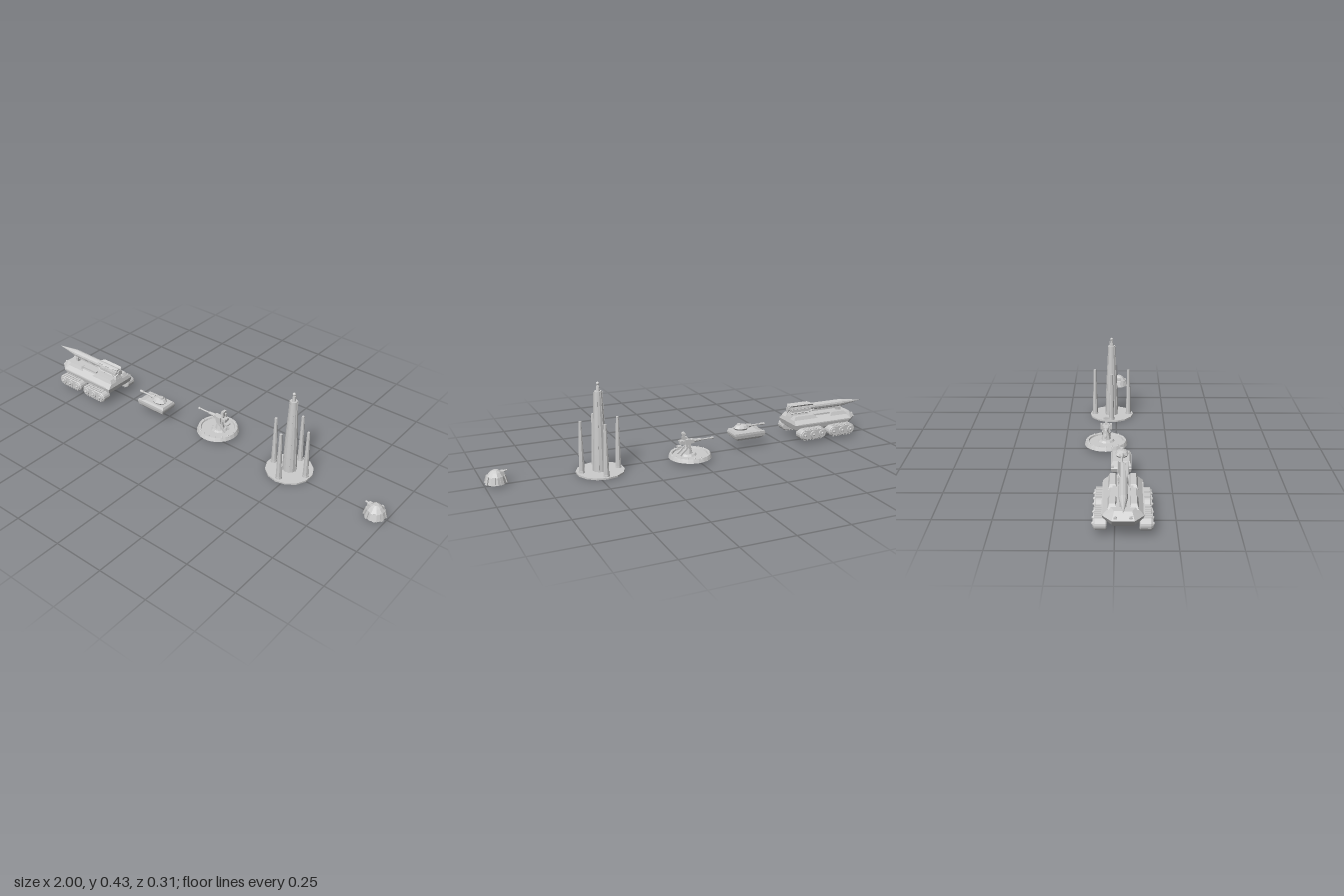
import * as THREE from 'three';
import { ConvexGeometry } from 'three/addons/geometries/ConvexGeometry.js';

const grey = new THREE.MeshStandardMaterial({ color: 0xcccccc, flatShading: true });

function add(parent, name, geometry, x = 0, y = 0, z = 0) {
  const mesh = new THREE.Mesh(geometry, grey);
  mesh.name = name;
  mesh.position.set(x, y, z);
  parent.add(mesh);
  return mesh;
}

function group(parent, name, x, z) {
  const g = new THREE.Group();
  g.name = name;
  g.position.set(x, 0, z);
  parent.add(g);
  return g;
}

const box = (w, h, d) => new THREE.BoxGeometry(w, h, d);

// Round bar along x; the first radius is at the -x end
const bar = (rFront, rBack, length, sides = 10) =>
  new THREE.CylinderGeometry(rFront, rBack, length, sides).rotateZ(Math.PI / 2);

// Faceted solid from layers [y, xMin, xMax, half width, nose half width, nose length], mirrored in z
function layered(layers) {
  const pts = [];
  for (const [y, x0, x1, w, nose = w, len = 0] of layers)
    for (const s of [-1, 1])
      pts.push(new THREE.Vector3(x0, y, s * nose), new THREE.Vector3(x0 + len, y, s * w), new THREE.Vector3(x1, y, s * w));
  return new ConvexGeometry(pts);
}

// Rounded crawler outline, extruded across z
function crawler(length, height, width) {
  const r = height / 2, a = length / 2 - r, s = new THREE.Shape();
  s.moveTo(-a, -r);
  s.lineTo(a, -r);
  s.absarc(a, 0, r, -Math.PI / 2, Math.PI / 2);
  s.lineTo(-a, r);
  s.absarc(-a, 0, r, Math.PI / 2, Math.PI * 1.5);
  return new THREE.ExtrudeGeometry(s, {
    depth: width - 0.008, curveSegments: 4, bevelSize: 0.004, bevelOffset: -0.004, bevelThickness: 0.004, bevelSegments: 1,
  }).translate(0, 0, -width / 2 + 0.004);
}

function missileTruck(root) {
  const g = group(root, 'missileTruck', 0, 0.034);
  add(g, 'hull', layered([
    [0.048, -0.89, -0.59, 0.06, 0.04, 0.04],
    [0.065, -0.91, -0.565, 0.078, 0.045, 0.045],
    [0.092, -0.935, -0.557, 0.084, 0.045, 0.05],
    [0.12, -0.905, -0.565, 0.052, 0.035, 0.04],
  ]));
  // Crawler units, two on each side
  for (const x of [-0.815, -0.645])
    for (const s of [-1, 1]) {
      const t = group(g, 'crawlerUnit', x, s * 0.09);
      add(t, 'track', crawler(0.155, 0.054, 0.05), 0, 0.047, 0);
      for (const wx of [-0.05, 0, 0.05]) {
        const wheel = add(t, 'wheel', new THREE.CylinderGeometry(0.018, 0.021, 0.008, 12), wx, 0.046, s * 0.0255);
        wheel.rotation.x = s * Math.PI / 2;
        add(t, 'hub', new THREE.SphereGeometry(0.007, 8, 6), wx, 0.046, s * 0.029);
      }
      for (let i = 0; i < 7; i++)
        for (const y of [0.02, 0.074]) add(t, 'trackShoe', box(0.008, 0.004, 0.046), -0.048 + i * 0.016, y, 0);
    }
  // Deck pods beside the missile, with a waist between them
  for (const s of [-1, 1]) {
    for (const [x0, x1] of [[-0.88, -0.775], [-0.7, -0.56]])
      add(g, 'deckPod', layered([[0.112, x0, x1, 0.019], [0.13, x0 + 0.02, x1 - 0.012, 0.012]]), 0, 0, s * 0.043);
    add(g, 'deckRail', box(0.1, 0.012, 0.014), -0.74, 0.122, s * 0.036);
    add(g, 'sideStep', box(0.3, 0.006, 0.012), -0.735, 0.092, s * 0.08);
    add(g, 'headlight', bar(0.007, 0.007, 0.012, 8), -0.924, 0.1, s * 0.03);
  }
  // Launch cradle
  add(g, 'cradleBase', layered([[0.118, -0.68, -0.565, 0.022], [0.146, -0.655, -0.575, 0.014]]));
  add(g, 'cradleBeam', box(0.3, 0.008, 0.018), -0.725, 0.138, 0);
  add(g, 'frontRest', box(0.015, 0.025, 0.03), -0.86, 0.128, 0);
  for (const s of [-1, 1]) add(g, 'cradleArm', box(0.11, 0.014, 0.006), -0.625, 0.15, s * 0.02);
  // Missile
  add(g, 'missileBody', bar(0.018, 0.018, 0.31, 12), -0.72, 0.158, 0);
  add(g, 'missileNose', bar(0, 0.018, 0.125, 12), -0.9375, 0.158, 0);
  add(g, 'missileNozzle', bar(0.01, 0.014, 0.012, 10), -0.56, 0.158, 0);
  for (let i = 0; i < 4; i++) {
    const fin = new THREE.Shape([[-0.72, 0.01], [-0.68, 0.031], [-0.565, 0.031], [-0.558, 0.01]].map(p => new THREE.Vector2(...p)));
    const m = add(g, 'missileFin', new THREE.ExtrudeGeometry(fin, { depth: 0.004, bevelEnabled: false }).translate(0, 0, -0.002), 0, 0.158, 0);
    m.rotation.x = Math.PI / 4 + i * Math.PI / 2;
  }
}

function tank(root) {
  const g = group(root, 'tank', 0, 0.026);
  add(g, 'lowerHull', layered([
    [0.043, -0.375, -0.25, 0.034], [0.055, -0.395, -0.235, 0.043], [0.07, -0.4, -0.23, 0.046],
  ]));
  add(g, 'upperHull', layered([[0.07, -0.4, -0.23, 0.046], [0.078, -0.395, -0.23, 0.046], [0.09, -0.355, -0.235, 0.038]]));
  for (const s of [-1, 1]) add(g, 'trackGuard', box(0.165, 0.007, 0.014), -0.315, 0.078, s * 0.039);
  const turret = new THREE.LatheGeometry(
    [[0, 0], [0.026, 0], [0.032, 0.01], [0.024, 0.022], [0.01, 0.028], [0, 0.028]].map(p => new THREE.Vector2(...p)), 10);
  add(g, 'turret', turret, -0.288, 0.088, 0.003).scale.x = 1.3;
  add(g, 'hatch', new THREE.CylinderGeometry(0.009, 0.011, 0.008, 8), -0.275, 0.117, 0.003);
  add(g, 'mantlet', bar(0.008, 0.012, 0.025, 8), -0.33, 0.102, 0.003);
  add(g, 'barrel', bar(0.0045, 0.0045, 0.1, 8), -0.37, 0.102, 0.003);
  add(g, 'muzzle', bar(0.0065, 0.0065, 0.02, 8), -0.408, 0.102, 0.003);
}

function gunEmplacement(root) {
  const g = group(root, 'gunEmplacement', 0.027, -0.048);
  add(g, 'basePlate', new THREE.CylinderGeometry(0.1, 0.105, 0.012, 24), 0, 0.022, 0);
  const rim = new THREE.LatheGeometry(
    [[0.082, 0.026], [0.102, 0.026], [0.098, 0.035], [0.085, 0.035], [0.082, 0.026]].map(p => new THREE.Vector2(...p)), 24);
  add(g, 'rim', rim);
  for (let i = 0; i < 18; i++) {
    const a = i / 18 * Math.PI * 2;
    const tooth = add(g, 'rimTooth', new THREE.ConeGeometry(0.009, 0.012, 4), Math.cos(a) * 0.092, 0.036, Math.sin(a) * 0.092);
    tooth.rotation.y = -a;
  }
  // Pedestal with braces
  add(g, 'turntable', new THREE.CylinderGeometry(0.035, 0.042, 0.01, 12), 0.01, 0.032, 0);
  add(g, 'pedestal', new THREE.CylinderGeometry(0.011, 0.024, 0.05, 8), 0.012, 0.06, 0);
  for (const s of [-1, 1]) {
    const brace = add(g, 'brace', box(0.062, 0.008, 0.008), 0.035, 0.054, s * 0.016);
    brace.rotation.z = -0.75;
    add(g, 'yoke', box(0.024, 0.036, 0.005), 0.015, 0.088, s * 0.016);
    add(g, 'ammoBox', box(0.026, 0.024, 0.01), 0.02, 0.1, s * 0.023);
  }
  // Gun
  add(g, 'breech', box(0.07, 0.018, 0.024), 0.018, 0.094, 0);
  add(g, 'breechBlock', box(0.02, 0.012, 0.03), 0.045, 0.096, 0);
  add(g, 'barrelSleeve', bar(0.007, 0.01, 0.04, 8), -0.035, 0.094, 0);
  add(g, 'barrel', bar(0.004, 0.004, 0.08, 8), -0.08, 0.094, 0);
  add(g, 'muzzle', bar(0.006, 0.006, 0.012, 8), -0.116, 0.094, 0);
  // Raised sight and gunner's seat
  const mast = add(g, 'sightMast', box(0.01, 0.045, 0.012), 0.033, 0.12, 0);
  mast.rotation.z = -0.12;
  add(g, 'sight', box(0.014, 0.01, 0.026), 0.035, 0.136, 0);
  add(g, 'seat', box(0.022, 0.006, 0.024), 0.056, 0.074, 0);
}

function towerCluster(root) {
  const g = group(root, 'towerCluster', 0.472, -0.025);
  add(g, 'groundPlate', new THREE.CylinderGeometry(0.114, 0.114, 0.008, 14), 0, 0.004, 0);
  add(g, 'mainTower', new THREE.LatheGeometry(
    [[0.034, 0.008], [0.032, 0.09], [0.027, 0.22], [0.018, 0.387], [0, 0.387]].map(p => new THREE.Vector2(...p)), 12));
  // Ribs follow the taper of the tower
  for (let i = 0; i < 6; i++) {
    const rib = group(g, 'towerRib', 0, 0);
    rib.rotation.y = i * Math.PI / 3;
    add(rib, 'rib', box(0.006, 0.375, 0.005), 0.0255, 0.196, 0).rotation.z = 0.042;
  }
  add(g, 'towerCap', new THREE.CylinderGeometry(0.006, 0.01, 0.028, 8), 0, 0.4, 0);
  add(g, 'beacon', new THREE.SphereGeometry(0.008, 12, 8), 0, 0.422, 0);
  add(g, 'antenna', box(0.003, 0.03, 0.004), 0, 0.397, -0.013);
  for (let i = 0; i < 4; i++) {
    const a = i * Math.PI / 2;
    const p = group(g, 'outerPillar', Math.cos(a) * 0.089, Math.sin(a) * 0.089);
    add(p, 'foot', new THREE.CylinderGeometry(0.015, 0.016, 0.01, 8), 0, 0.012, 0);
    add(p, 'shaft', new THREE.CylinderGeometry(0.007, 0.014, 0.248, 8), 0, 0.131, 0);
  }
}

function bunker(root) {
  const g = group(root, 'bunker', 0.947, 0.011);
  const dome = new THREE.LatheGeometry(
    [[0, 0.01], [0.05, 0.01], [0.041, 0.042], [0.026, 0.06], [0.012, 0.069], [0, 0.069]].map(p => new THREE.Vector2(...p)), 10);
  add(g, 'dome', dome);
  // Buttresses around the foot
  for (let i = 0; i < 8; i++) {
    const b = group(g, 'buttress', 0, 0);
    b.rotation.y = (i + 0.5) * Math.PI / 4;
    add(b, 'rib', box(0.01, 0.036, 0.013), 0.043, 0.027, 0).rotation.z = 0.27;
  }
  add(g, 'gunPort', box(0.022, 0.016, 0.024), -0.026, 0.053, 0);
  add(g, 'barrel', bar(0.004, 0.005, 0.03, 8), -0.037, 0.058, 0).rotation.z = -0.2;
}

export function createModel() {
  const model = new THREE.Group();
  model.name = 'defenceSet';
  missileTruck(model);
  tank(model);
  gunEmplacement(model);
  towerCluster(model);
  bunker(model);
  return model;
}
